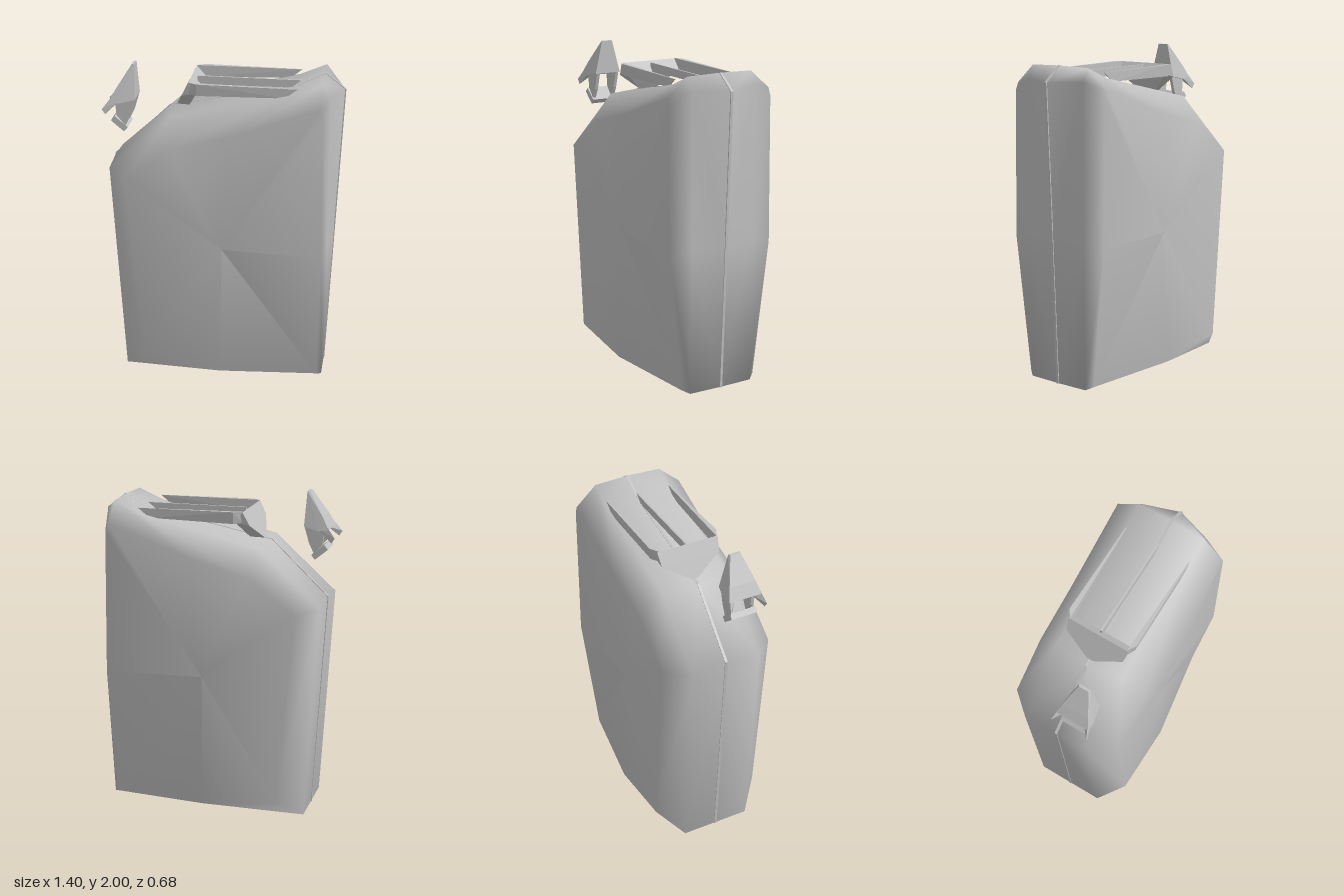
import * as THREE from 'three';
import { ConvexGeometry } from 'three/addons/geometries/ConvexGeometry.js';

const metal = new THREE.MeshStandardMaterial({ color: 0xc0c0c0, side: THREE.DoubleSide });
metal.name = 'bare metal';

function add(parent, name, geometry) {
  const mesh = new THREE.Mesh(geometry, metal);
  mesh.name = name;
  parent.add(mesh);
  return mesh;
}

const hull = (points) => new ConvexGeometry(points.map((p) => new THREE.Vector3(...p)));

// Outline at the seam, anticlockwise from the lower left corner
const seamRing = [[-0.6, 0.08], [-0.44, 0.005], [0.62, 0.08], [0.657, 0.95], [0.695, 1.85],
  [0.58, 1.94], [0.41, 1.86], [-0.33, 1.72], [-0.67, 1.4]];
// Edge where the sides start to round over
const sideRing = [[-0.6, 0.08], [-0.42, 0.085], [0.615, 0.08], [0.625, 0.95], [0.62, 1.86],
  [0.575, 1.935], [0.42, 1.87], [-0.3, 1.71], [-0.67, 1.38]];
// Rim of the pressed panel, with its own z at each corner
const panelRing = [[-0.46, 0.2, 0.34], [0, 0.13, 0.34], [0.585, 0.1, 0.25], [0.6, 0.92, 0.34],
  [0.585, 1.78, 0.34], [0.565, 1.825, 0.34], [0.06, 1.65, 0.34], [-0.28, 1.56, 0.34], [-0.555, 1.36, 0.34]];
const panelCentre = [0.01, 0.93, 0.31];

// One half of the can: three rings, closed by a shallow pressed panel whose
// facets meet sharply at the centre (one centre vertex for each facet)
function halfShell(sign) {
  const seam = seamRing.map(([x, y]) => [x, y, 0]);
  if (sign < 0) seam[1][1] = 0.08;
  const side = sideRing.map(([x, y]) => [x, y, 0.21]);
  const centres = panelRing.map(() => panelCentre);
  const positions = [], index = [];
  const n = seam.length;
  for (const [x, y, z] of [...seam, ...side, ...panelRing, ...centres]) {
    positions.push(x, y, z * sign);
  }
  const face = (a, b, c) => (sign > 0 ? index.push(a, b, c) : index.push(a, c, b));
  for (let i = 0; i < n; i++) {
    const j = (i + 1) % n;
    for (let r = 0; r < 2; r++) {
      const o = r * n, q = o + n;
      face(o + i, o + j, q + j);
      face(o + i, q + j, q + i);
    }
    face(2 * n + i, 2 * n + j, 3 * n + i);
  }
  const g = new THREE.BufferGeometry();
  g.setAttribute('position', new THREE.Float32BufferAttribute(positions, 3));
  g.setIndex(index);
  g.computeVertexNormals();
  return g;
}

const toVectors = (points) => points.map((p) => new THREE.Vector2(...p));

function extrude(points, depth, z, hole) {
  const shape = new THREE.Shape(toVectors(points));
  if (hole) shape.holes.push(new THREE.Path(toVectors(hole)));
  const g = new THREE.ExtrudeGeometry(shape, { depth, bevelEnabled: false });
  return g.translate(0, 0, z);
}

export function createModel() {
  const model = new THREE.Group();
  model.name = 'fuelCan';

  // Body halves and the narrow welded seam between them
  add(model, 'frontShell', halfShell(1));
  add(model, 'backShell', halfShell(-1));
  const scaled = (sx, sy) => seamRing.map(([x, y]) => [x * sx, Math.max(0, 0.95 + (y - 0.95) * sy)]);
  add(model, 'seam', extrude(scaled(1.006, 1.002), 0.016, -0.008, scaled(0.985, 0.985)));

  // Carrying handle: two tapering rails, a thin middle bar and an end bracket
  const handle = new THREE.Group();
  handle.name = 'handle';
  model.add(handle);
  const bracket = [];
  for (const s of [-1, 1]) {
    add(handle, 'handleRail', hull([
      [-0.2, 1.91, s * 0.18], [-0.15, 1.91, s * 0.212], [-0.2, 1.845, s * 0.18], [-0.15, 1.84, s * 0.205],
      [-0.15, 1.84, s * 0.18], [0.43, 1.9, s * 0.2], [0.43, 1.9, s * 0.206], [0.36, 1.845, s * 0.2],
      [0.36, 1.845, s * 0.206]]));
    bracket.push([-0.2, 1.908, s * 0.19], [-0.15, 1.85, s * 0.185], [-0.24, 1.83, s * 0.18],
      [-0.29, 1.73, s * 0.02], [-0.21, 1.74, s * 0.06]);
  }
  add(handle, 'handleBracket', hull(bracket));
  add(handle, 'middleBar', extrude([[-0.17, 1.85], [0.38, 1.85], [0.44, 1.895], [-0.17, 1.9]], 0.012, -0.006));

  // Open cap floating over the spout shoulder
  const cap = new THREE.Group();
  cap.name = 'cap';
  model.add(cap);
  const zc = 0.115;
  const lid = [];
  for (const s of [-1, 1]) {
    lid.push([-0.515, 2, zc + s * 0.035], [-0.53, 2, zc + s * 0.03], [-0.62, 1.86, zc + s * 0.08],
      [-0.66, 1.79, zc + s * 0.1], [-0.6, 1.78, zc + s * 0.1], [-0.51, 1.8, zc + s * 0.085]);
  }
  add(cap, 'capLid', hull(lid));
  for (const s of [-1, 1]) {
    // Hook at the lip and the hinge arm below, one on each side
    const z = zc + s * 0.09;
    add(cap, 'capHook', hull([[-0.7, 1.745, zc + s * 0.112], [-0.68, 1.715, zc + s * 0.11],
      [-0.6, 1.79, z], [-0.64, 1.82, z], [-0.62, 1.78, zc + s * 0.05]]));
    add(cap, 'hingeArm', extrude([[-0.63, 1.8], [-0.62, 1.7], [-0.57, 1.64], [-0.54, 1.7], [-0.51, 1.8]],
      0.02, zc + s * 0.065 - 0.01));
  }
  const pin = add(cap, 'hingePin', new THREE.BoxGeometry(0.1, 0.035, 0.16));
  pin.position.set(-0.605, 1.65, zc);
  pin.rotation.z = -0.7;
  return model;
}
